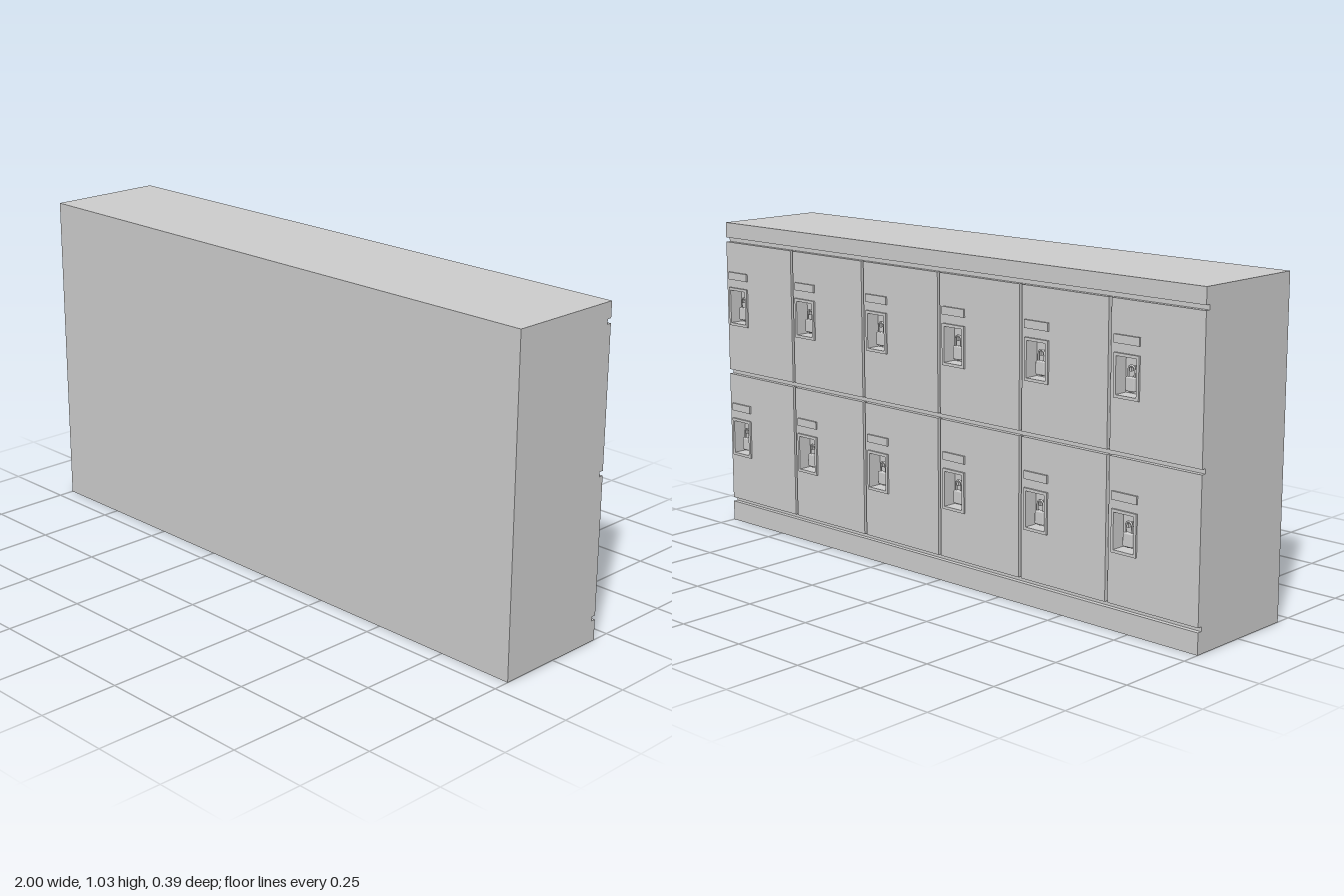
import * as THREE from 'three';
import { RoundedBoxGeometry } from 'three/addons/geometries/RoundedBoxGeometry.js';

const W = 2, H = 1.034, BACK = -0.197, FLOOR = 0.15, CORE = 0.175, FACE = 0.19, FRONT = 0.196;
const PITCH = 0.335, DOOR_W = 0.325, DOOR_H = 0.437, ROWS = [0.08, 0.532];
const LOCK_X = 0.059, LOCK_Y = 0.22; // pocket centre, measured from a door's lower corner
const POCKET_W = 0.073, POCKET_H = 0.111;

const mat = new THREE.MeshStandardMaterial({ color: 0xcccccc });

function add(parent, name, geometry, x = 0, y = 0, z = 0) {
  const mesh = new THREE.Mesh(geometry, mat);
  mesh.name = name;
  mesh.position.set(x, y, z);
  parent.add(mesh);
  return mesh;
}

function rect(Type, x, y, w, h) {
  return new Type([[x, y], [x + w, y], [x + w, y + h], [x, y + h]].map(p => new THREE.Vector2(...p)));
}

const pocketHole = (cx, cy) =>
  rect(THREE.Path, cx - POCKET_W / 2, cy - POCKET_H / 2, POCKET_W, POCKET_H);

function panel(shape, depth) {
  return new THREE.ExtrudeGeometry(shape, { depth, bevelEnabled: false });
}

// Padlock hanging from a staple inside the pocket
function createPadlock() {
  const lock = new THREE.Group();
  lock.name = 'padlock';
  add(lock, 'lockBody', new RoundedBoxGeometry(0.034, 0.042, 0.018, 2, 0.004), 0, -0.024, 0);
  const arc = [];
  for (let i = 0; i <= 8; i++) {
    const a = Math.PI * (1 - i / 8);
    arc.push(new THREE.Vector3(0.011 * Math.cos(a), 0.018 + 0.011 * Math.sin(a), 0));
  }
  const path = new THREE.CatmullRomCurve3([
    new THREE.Vector3(-0.011, -0.006, 0), ...arc, new THREE.Vector3(0.011, -0.006, 0)]);
  add(lock, 'shackle', new THREE.TubeGeometry(path, 20, 0.003, 8));
  add(lock, 'staple', new THREE.BoxGeometry(0.007, 0.012, 0.026), 0, 0.019, -0.007);
  const keyway = add(lock, 'keyway', new THREE.CylinderGeometry(0.006, 0.006, 0.003, 12), 0, -0.046, 0);
  keyway.scale.z = 0.8;
  return lock;
}

export function createModel() {
  const model = new THREE.Group();
  model.name = 'lockerBank';

  // Carcass, with its door side pierced by the lock pockets
  add(model, 'carcass', new THREE.BoxGeometry(W, H, FLOOR - BACK), 0, H / 2, (FLOOR + BACK) / 2);
  const facing = rect(THREE.Shape, -W / 2, 0, W, H);

  // Door with a pocket opening, and the raised frame around the pocket
  const doorShape = rect(THREE.Shape, 0, 0, DOOR_W, DOOR_H);
  doorShape.holes.push(pocketHole(LOCK_X, LOCK_Y));
  const doorGeo = panel(doorShape, FACE - CORE);
  const frameShape = rect(THREE.Shape, -0.0455, -0.0645, 0.091, 0.129);
  frameShape.holes.push(pocketHole(0, 0));
  const frameGeo = panel(frameShape, FRONT - FACE);
  const labelGeo = new THREE.BoxGeometry(0.091, 0.025, FRONT - FACE);
  const padlock = createPadlock();

  for (const y of ROWS) {
    for (let i = 0; i < 6; i++) {
      const x = -1 + i * PITCH;
      facing.holes.push(pocketHole(x + LOCK_X, y + LOCK_Y));
      const locker = new THREE.Group();
      locker.name = 'locker';
      locker.position.set(x, y, 0);
      add(locker, 'door', doorGeo, 0, 0, CORE);
      add(locker, 'pocketFrame', frameGeo, LOCK_X, LOCK_Y, FACE);
      add(locker, 'labelPlate', labelGeo, LOCK_X, 0.324, (FACE + FRONT) / 2);
      const lock = padlock.clone();
      lock.position.set(LOCK_X, LOCK_Y, 0.17);
      locker.add(lock);
      model.add(locker);
    }
  }
  add(model, 'carcassFacing', panel(facing, CORE - FLOOR), 0, 0, FLOOR);

  // Plinth and top fascia, flush with the doors
  const rail = (name, y0, y1) => add(model, name,
    new THREE.BoxGeometry(W, y1 - y0, FACE - CORE), 0, (y0 + y1) / 2, (FACE + CORE) / 2);
  rail('plinth', 0, 0.066);
  rail('topFascia', 0.984, H);

  // The doors face -z
  model.rotation.y = Math.PI;
  const root = new THREE.Group();
  root.name = 'lockers';
  root.add(model);
  return root;
}
